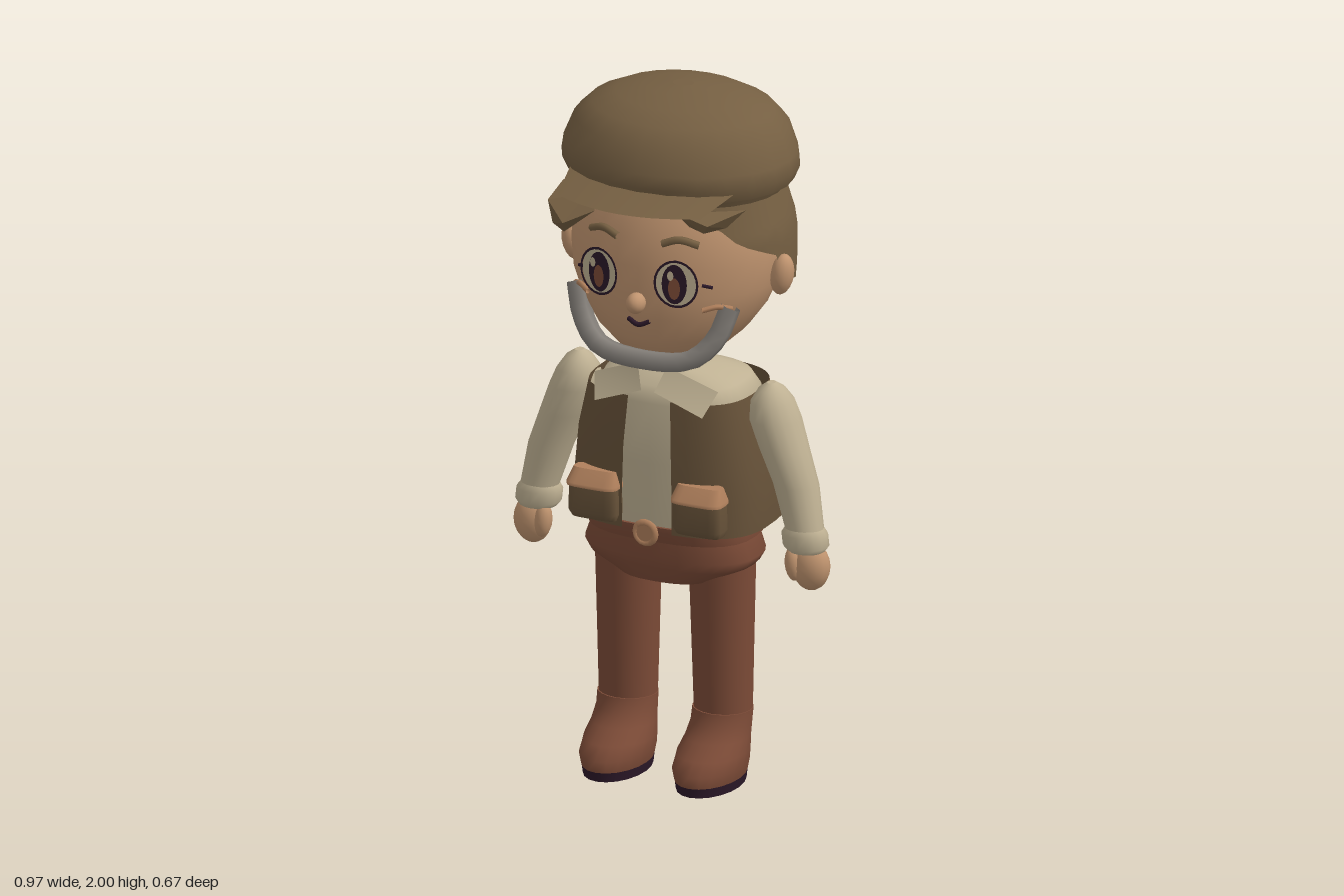
import * as THREE from 'three';
import { ConvexGeometry } from 'three/addons/geometries/ConvexGeometry.js';

const mat = (name, color) => Object.assign(
  new THREE.MeshStandardMaterial({ color, side: THREE.DoubleSide }), { name });
const M = {
  brown: mat('hat and hair brown', 0x755f42),
  vest: mat('vest brown', 0x675239),
  skin: mat('skin', 0xc0946f),
  tan: mat('tan leather', 0xb0805c),
  shirt: mat('cream shirt', 0xbfb193),
  trousers: mat('russet trousers', 0x7c4b37),
  grey: mat('grey beard', 0x85807a),
  dark: mat('dark plum', 0x2b1828),
};

// Grid of points (rows from bottom to top) turned into a surface
function grid(rows, closed, caps = false) {
  const pos = [], idx = [], n = rows[0].length, m = closed ? n : n - 1;
  rows.forEach(r => r.forEach(p => pos.push(...p)));
  for (let i = 0; i + 1 < rows.length; i++) for (let j = 0; j < m; j++) {
    const k = (j + 1) % n, a = i * n + j, b = i * n + k;
    idx.push(a, b, b + n, a, b + n, a + n);
  }
  if (caps) [0, rows.length - 1].forEach(i => {
    const r = rows[i], c = pos.length / 3;
    pos.push(...[0, 1, 2].map(d => r.reduce((s, p) => s + p[d], 0) / n));
    r.forEach(p => pos.push(...p));
    for (let j = 0; j < n; j++) {
      const a = c + 1 + j, b = c + 1 + (j + 1) % n;
      i ? idx.push(c, a, b) : idx.push(c, b, a);
    }
  });
  const g = new THREE.BufferGeometry();
  g.setAttribute('position', new THREE.Float32BufferAttribute(pos, 3));
  g.setIndex(idx);
  g.computeVertexNormals();
  return g;
}

const pw = (v, p) => Math.sign(v) * Math.abs(v) ** (2 / p);
// Stacked oval rings: [y, rx, rz, cx, cz]; gap leaves an opening at the front
function loft(rings, { n = 20, p = 2, gap = 0 } = {}) {
  const rows = rings.map(([y, rx, rz, cx = 0, cz = 0]) =>
    Array.from({ length: gap ? n + 1 : n }, (_, j) => {
      const a = gap + (2 * Math.PI - 2 * gap) * j / n;
      return [cx + rx * pw(Math.sin(a), p), y, cz + rz * pw(Math.cos(a), p)];
    }));
  return grid(rows, !gap, !gap);
}

const tube = (pts, r, seg = 8, sides = 6) => new THREE.TubeGeometry(
  new THREE.CatmullRomCurve3(pts.map(p => new THREE.Vector3(...p))), seg, r, sides);
const hull = pts => new ConvexGeometry(pts.map(p => new THREE.Vector3(...p)));
// Piecewise linear lookup
function lookup(keys, t) {
  for (let i = 1; i < keys.length; i++) if (t <= keys[i][0]) {
    const [a, u] = keys[i - 1], [b, v] = keys[i];
    return u + (v - u) * (t - a) / (b - a);
  }
  return keys[keys.length - 1][1];
}

export function createModel() {
  const model = new THREE.Group();
  model.name = 'figure';
  const add = (name, geo, m, pos = [0, 0, 0], rot = [0, 0, 0], parent = model) => {
    const mesh = new THREE.Mesh(geo, m);
    mesh.name = name;
    mesh.position.set(...pos);
    mesh.rotation.set(...rot);
    parent.add(mesh);
    return mesh;
  };
  const ball = (name, m, pos, r, rot) =>
    add(name, new THREE.SphereGeometry(1, 14, 10), m, pos, rot).scale.set(...r);

  // Head and neck
  add('head', loft([
    [1.225, .05, .05, 0, -.01], [1.24, .09, .09], [1.27, .15, .15], [1.33, .215, .2, 0, -.01],
    [1.4, .265, .23, 0, -.02], [1.47, .295, .245, 0, -.03], [1.55, .305, .248, 0, -.035],
    [1.63, .3, .24, 0, -.035], [1.7, .27, .22, 0, -.04], [1.745, .24, .2, 0, -.04],
  ], { n: 28 }), M.skin);
  add('neck', loft([[1.14, .085, .085, 0, -.02], [1.27, .078, .078, 0, -.02]]), M.skin);
  ball('nose', M.skin, [0, 1.45, .228], [.027, .03, .032]);

  // Hair shell with a hairline that varies around the head
  const hairline = [[0, 1.725], [.45, 1.71], [.75, 1.67], [.95, 1.62], [1.25, 1.585],
    [1.48, 1.56], [1.62, 1.47], [2.2, 1.42], [3.15, 1.36]];
  const hairRows = [];
  for (let i = 0; i <= 6; i++) hairRows.push(Array.from({ length: 48 }, (_, j) => {
    const a = j / 48 * 2 * Math.PI, low = lookup(hairline, Math.min(a, 2 * Math.PI - a));
    const y = low + (1.742 - low) * i / 6;
    const rx = lookup([[1.36, .305], [1.5, .318], [1.62, .318], [1.742, .285]], y);
    const c = Math.cos(a);
    const rz = c > 0 ? rx - .065 : lookup([[1.36, .293], [1.6, .29], [1.742, .245]], y);
    return [rx * pw(Math.sin(a), c > 0 ? 2 : 2.5), y, -.04 + rz * pw(c, c > 0 ? 2 : 2.5)];
  }));
  add('hair', grid(hairRows, true), M.brown);
  add('rightFringe', hull([[-.28, 1.73, .11], [-.26, 1.72, .25], [-.25, 1.65, .24], [-.2, 1.67, .28],
    [-.22, 1.625, .23], [-.14, 1.69, .2], [-.16, 1.74, .2]]), M.brown);
  add('leftFringe', hull([[.28, 1.73, .11], [.23, 1.72, .25], [.21, 1.69, .23], [.13, 1.74, .24],
    [.15, 1.69, .2], [.24, 1.685, .15]]), M.brown);

  // Flat cap with band and peak
  add('capBand', loft([[1.732, .3, .25, 0, -.05], [1.77, .322, .27, 0, -.053]], { n: 28 }), M.brown);
  add('cap', loft([
    [1.752, .325, .268, 0, -.055], [1.79, .342, .282, 0, -.053], [1.83, .336, .28, 0, -.054],
    [1.9, .308, .258, 0, -.06], [1.945, .262, .218, 0, -.065], [1.975, .195, .162, 0, -.068],
    [1.993, .11, .09, 0, -.07], [2, .03, .025, 0, -.07],
  ], { n: 24 }), M.brown);
  const peak = [[], []];
  for (let i = -5; i <= 5; i++) {
    const t = i / 5;
    peak[0].push([.22 * t, 1.748, .335 - .065 * t * t]);
    peak[1].push([.26 * t, 1.785, .19 - .1 * t * t]);
  }
  add('capPeak', grid(peak, false), M.brown);

  // Face details, mirrored
  add('mouth', tube([[-.033, 1.395, .208], [0, 1.382, .214], [.033, 1.395, .208]], .007), M.dark);
  for (const s of [-1, 1]) {
    const side = s > 0 ? 'left' : 'right';
    ball(side + 'Ear', M.skin, [s * .32, 1.5, -.035], [.033, .06, .036], [0, 0, -s * .15]);
    const eye = new THREE.Group();
    eye.name = side + 'Eye';
    eye.position.set(s * .118, 1.522, .216);
    eye.rotation.y = s * .2;
    model.add(eye);
    const disc = (name, m, x, y, z, rx, ry) => add(name, new THREE.CircleGeometry(1, 24), m,
      [x, y, z], [0, 0, 0], eye).scale.set(rx, ry, 1);
    disc('eyeWhite', M.shirt, 0, 0, 0, .058, .066);
    add('eyeOutline', new THREE.RingGeometry(.9, 1, 24), M.dark, [0, 0, .003], [0, 0, 0], eye)
      .scale.set(.064, .07, 1);
    disc('iris', M.dark, -s * .004, 0, .006, .036, .058);
    disc('irisGlow', M.trousers, -s * .004, -.012, .009, .017, .032);
    disc('eyeGlint', M.shirt, -.014, .026, .012, .009, .014);
    add(side + 'Lash', tube([[s * .18, 1.515, .18], [s * .205, 1.508, .165]], .005, 2), M.dark);
    add(side + 'Brow', tube([[s * .068, 1.628, .203], [s * .115, 1.643, .192],
      [s * .165, 1.627, .17]], .011), M.brown);
    add(side + 'CheekMark', tube([[s * .175, 1.437, .17], [s * .21, 1.445, .145],
      [s * .24, 1.435, .115]], .008), M.tan);
  }
  add('beard', tube([[-.235, 1.44, .115], [-.205, 1.35, .14], [-.14, 1.285, .168], [0, 1.267, .178],
    [.14, 1.285, .168], [.205, 1.35, .14], [.235, 1.44, .115]], .03, 18), M.grey);

  // Shirt, collar and open vest
  add('shirt', loft([[.75, .25, .185, 0, -.045], [.95, .245, .188, 0, -.043], [1.12, .225, .175, 0, -.043],
    [1.165, .2, .15, 0, -.04], [1.19, .13, .1, 0, -.03], [1.2, .09, .085, 0, -.02]],
  { n: 32, p: 2.7 }), M.shirt);
  add('vest', loft([[.755, .283, .207, 0, -.045], [.85, .285, .207, 0, -.045], [1, .27, .203, 0, -.043],
    [1.14, .24, .19, 0, -.043]], { n: 40, p: 3, gap: .14 }), M.vest);
  for (const s of [-1, 1]) {
    const side = s > 0 ? 'left' : 'right';
    add(side + 'Collar', grid([
      [[s * .02, 1.165, .155], [s * .165, 1.11, .15]],
      [[s * .045, 1.235, .125], [s * .19, 1.175, .1]]], false), M.shirt);
    add(side + 'Pocket', loft([[.77, .068, .03, s * .16, .15], [.79, .076, .04, s * .16, .152],
      [.86, .074, .038, s * .16, .152], [.89, .07, .03, s * .16, .15]], { p: 4 }), M.vest);
    add(side + 'PocketFlap', loft([[.865, .078, .046, s * .16, .155], [.875, .078, .046, s * .16, .155],
      [.912, .066, .022, s * .16, .148]], { p: 4 }), M.tan);
  }

  // Trousers, belt and buckle
  add('hips', loft([[.59, .15, .135, 0, -.025], [.635, .24, .15, 0, -.022], [.665, .258, .153, 0, -.02],
    [.72, .238, .152, 0, -.02], [.77, .235, .155, 0, -.025]], { n: 28, p: 2.6 }), M.trousers);
  add('belt', loft([[.718, .245, .165, 0, -.025], [.75, .247, .175, 0, -.025], [.765, .24, .175, 0, -.025]],
    { n: 28, p: 2.6 }), M.trousers);
  add('buckle', new THREE.TorusGeometry(.03, .01, 6, 16), M.tan, [0, .753, .168]);
  add('buckleCentre', new THREE.CylinderGeometry(.026, .026, .03, 14), M.tan,
    [0, .753, .16], [Math.PI / 2, 0, 0]);

  // Arms and legs, mirrored
  for (const s of [-1, 1]) {
    const side = s > 0 ? 'left' : 'right';
    const limb = (name, m, rings, opt) => add(side + name, loft(
      rings.map(([y, rx, rz, cx, cz]) => [y, rx, rz, s * cx, cz]), opt), m);
    limb('Sleeve', M.shirt, [[.775, .055, .05, .407, 0], [.9, .065, .06, .376, -.01],
      [1, .071, .07, .336, -.016], [1.08, .074, .076, .306, -.022], [1.13, .06, .066, .298, -.022],
      [1.165, .037, .042, .296, -.02], [1.183, .012, .015, .295, -.02]], { n: 16 });
    limb('Cuff', M.shirt, [[.715, .054, .048, .412, 0], [.73, .066, .058, .411, 0],
      [.765, .066, .058, .407, 0], [.782, .054, .05, .406, 0]], { n: 16 });
    ball(side + 'Hand', M.skin, [s * .427, .67, .002], [.056, .07, .046]);
    ball(side + 'Thumb', M.skin, [s * .385, .678, .026], [.024, .05, .025], [0, 0, s * .1]);
    limb('Leg', M.trousers, [[.19, .083, .077, .146, -.022], [.4, .088, .086, .145, -.021],
      [.64, .094, .096, .144, -.02]]);
    limb('Boot', M.trousers, [[.028, .09, .14, .143, .05], [.06, .098, .141, .143, .05],
      [.095, .097, .125, .143, .034], [.13, .09, .1, .144, .006], [.165, .086, .084, .145, -.012],
      [.205, .086, .08, .146, -.02]]);
    limb('Sole', M.dark, [[0, .086, .136, .143, .048], [.03, .09, .139, .143, .049]]);
  }
  return model;
}
